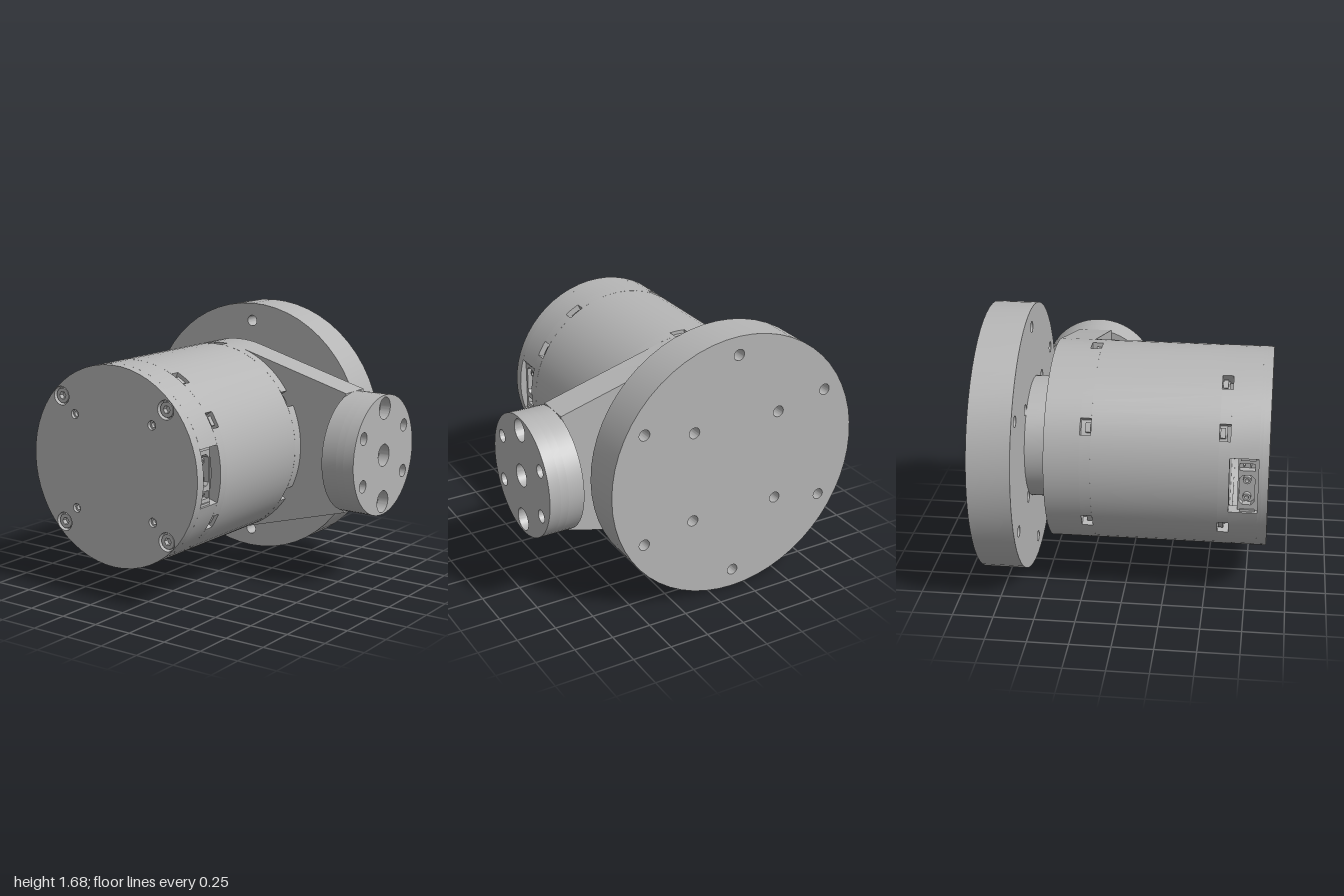
import * as THREE from 'three';
import { toCreasedNormals } from 'three/addons/utils/BufferGeometryUtils.js';

const metal = new THREE.MeshStandardMaterial({ color: 0xb5b5b5 });
metal.name = 'greyMetal';
const deg = Math.PI / 180;
const R = 0.62; // motor body radius

function add(parent, name, geometry) {
  const mesh = new THREE.Mesh(geometry, metal);
  mesh.name = name;
  parent.add(mesh);
  return mesh;
}

// Extrude a shape between two z values, with sharp rims and smooth curves
function slab(shape, z0, z1, segments = 28) {
  const g = new THREE.ExtrudeGeometry(shape, { depth: z1 - z0, bevelEnabled: false, curveSegments: segments });
  g.translate(0, 0, z0);
  return toCreasedNormals(g, 0.6);
}

const circle = (Type, x, y, r) => new Type().absarc(x, y, r, 0, Math.PI * 2, false);

// Disc with round holes given as [x, y, radius]
function disc(r, holes = []) {
  const s = circle(THREE.Shape, 0, 0, r);
  holes.forEach(([x, y, hr]) => s.holes.push(circle(THREE.Path, x, y, hr)));
  return s;
}

function rect(Type, x0, y0, x1, y1) {
  const s = new Type();
  s.moveTo(x0, y0);
  s.lineTo(x1, y0);
  s.lineTo(x1, y1);
  s.lineTo(x0, y1);
  s.closePath();
  return s;
}

// Tube wall with gaps at the given angles (ascending, in degrees)
function gappedRing(parent, name, inner, gaps, half, z0, z1) {
  gaps.forEach((gap, i) => {
    const next = i + 1 < gaps.length ? gaps[i + 1] : gaps[0] + 360;
    const a = (gap + half) * deg, b = (next - half) * deg;
    const s = new THREE.Shape();
    s.absarc(0, 0, R, a, b, false);
    s.absarc(0, 0, inner, b, a, true);
    s.closePath();
    add(parent, name, slab(s, z0, z1, 14));
  });
}

const square = (d, r) => [[d, d, r], [-d, d, r], [-d, -d, r], [d, -d, r]];

// Socket panel in the side window of the cap, facing +x
function connector() {
  const g = new THREE.Group();
  g.name = 'connector';
  const face = rect(THREE.Shape, -0.81, -0.165, -0.69, 0.165); // shape x is -z
  const power = new THREE.Path();
  [[-0.79, -0.04], [-0.77, -0.06], [-0.72, -0.06], [-0.7, -0.04], [-0.7, 0.11], [-0.72, 0.13], [-0.77, 0.13], [-0.79, 0.11]]
    .forEach(([x, y], i) => (i ? power.lineTo(x, y) : power.moveTo(x, y)));
  power.closePath();
  face.holes.push(power, rect(THREE.Path, -0.79, -0.135, -0.7, -0.09));
  add(g, 'socketFrame', slab(face, 0.53, 0.575).rotateY(Math.PI / 2));
  add(g, 'socketBack', new THREE.BoxGeometry(0.05, 0.33, 0.12)).position.set(0.505, 0, 0.75);
  for (const y of [-0.02, 0.09]) {
    const pin = slab(disc(0.024, [[0, 0, 0.012]]), 0.52, 0.56, 8).rotateY(Math.PI / 2);
    add(g, 'powerPin', pin).position.set(0, y, 0.745);
  }
  for (const z of [0.725, 0.765]) {
    add(g, 'signalPin', new THREE.BoxGeometry(0.04, 0.01, 0.01)).position.set(0.54, -0.112, z);
  }
  for (const y of [-0.165, 0.165]) {
    add(g, 'clip', new THREE.BoxGeometry(0.06, 0.014, 0.09)).position.set(0.555, y, 0.75);
  }
  return g;
}

export function createModel() {
  const model = new THREE.Group();
  model.name = 'actuatorJoint';

  // Everything around the motor axis
  const motor = new THREE.Group();
  motor.name = 'motor';
  motor.position.set(-0.16, 0.84, 0);
  model.add(motor);

  // Mounting flange and neck
  const flangeHoles = square(0.293, 0.035);
  for (let i = 0; i < 6; i++) {
    const a = (30 + i * 60) * deg;
    flangeHoles.push([0.723 * Math.cos(a), 0.723 * Math.sin(a), 0.035]);
  }
  add(motor, 'mountingFlange', slab(disc(0.84, flangeHoles), -0.875, -0.615));
  add(motor, 'neck', slab(disc(0.38), -0.62, -0.45));

  // Arm bracket: round plate running tangentially out to the end disc
  const arm = new THREE.Shape();
  const tangent = 74.7 * deg;
  arm.absarc(0, 0, R, tangent, 2 * Math.PI - tangent, false);
  arm.lineTo(0.945, -0.38);
  arm.lineTo(0.945, 0.38);
  arm.closePath();
  add(motor, 'armBracket', slab(arm, -0.46, -0.245));

  // Can with clip slots at both ends, over an inner core
  const frontSlots = [30, 60, 120, 150, 210, 270, 330];
  const rearSlots = [30, 90, 150, 210, 270, 330];
  add(motor, 'core', slab(disc(0.565), -0.25, 0.62));
  gappedRing(motor, 'rearSlotRing', 0.55, rearSlots, 4.7, -0.245, -0.18);
  add(motor, 'can', slab(disc(R, [[0, 0, 0.55]]), -0.18, 0.575));
  gappedRing(motor, 'frontSlotRing', 0.55, frontSlots, 4.7, 0.575, 0.64);
  for (const [slots, z] of [[frontSlots, 0.595], [rearSlots, -0.2]]) {
    for (const angle of slots) {
      const hook = add(motor, 'clipHook', new THREE.BoxGeometry(0.05, 0.06, 0.03));
      hook.position.set(0.575 * Math.cos(angle * deg), 0.575 * Math.sin(angle * deg), z);
      hook.rotation.z = angle * deg;
    }
  }

  // Front cap with two side windows, and its lid
  gappedRing(motor, 'capWall', 0.56, [0, 180], 16.4, 0.64, 0.81);
  add(motor, 'lidBack', slab(disc(R), 0.81, 0.83));
  const lidHoles = [...square(0.395, 0.058), ...square(0.293, 0.028)];
  add(motor, 'lid', slab(disc(R, lidHoles), 0.83, 0.87));
  for (const [x, y] of square(0.395, 0)) {
    const head = disc(0.046);
    const socket = new THREE.Path();
    for (let i = 0; i < 6; i++) {
      const px = 0.025 * Math.cos(i * 60 * deg), py = 0.025 * Math.sin(i * 60 * deg);
      if (i) socket.lineTo(px, py); else socket.moveTo(px, py);
    }
    socket.closePath();
    head.holes.push(socket);
    add(motor, 'lidScrew', slab(head, 0.825, 0.86, 10)).position.set(x, y, 0);
  }
  for (const [x, y] of square(0.293, 0)) {
    add(motor, 'threadInsert', slab(disc(0.028, [[0, 0, 0.016]]), 0.825, 0.85, 8)).position.set(x, y, 0);
  }

  // Side connectors
  for (const turn of [0, Math.PI]) {
    const c = connector();
    c.rotation.z = turn;
    motor.add(c);
  }

  // Output disc at the end of the arm, counterbored in layers
  const output = new THREE.Group();
  output.name = 'outputDisc';
  output.position.set(0, 0.84, -0.35);
  model.add(output);
  const layers = [[0.78, 0.88, 0.03], [0.88, 0.93, 0.045], [0.93, 1.0, 0.07]];
  for (const [x0, x1, r] of layers) {
    const holes = [-0.297, 0, 0.297].map((y) => [0, y, r]);
    for (const sx of [-1, 1]) for (const sy of [-1, 1]) holes.push([sx * 0.257, sy * 0.148, 0.04]);
    add(output, 'outputLayer', slab(disc(0.38, holes), x0, x1).rotateY(Math.PI / 2));
  }
  return model;
}
